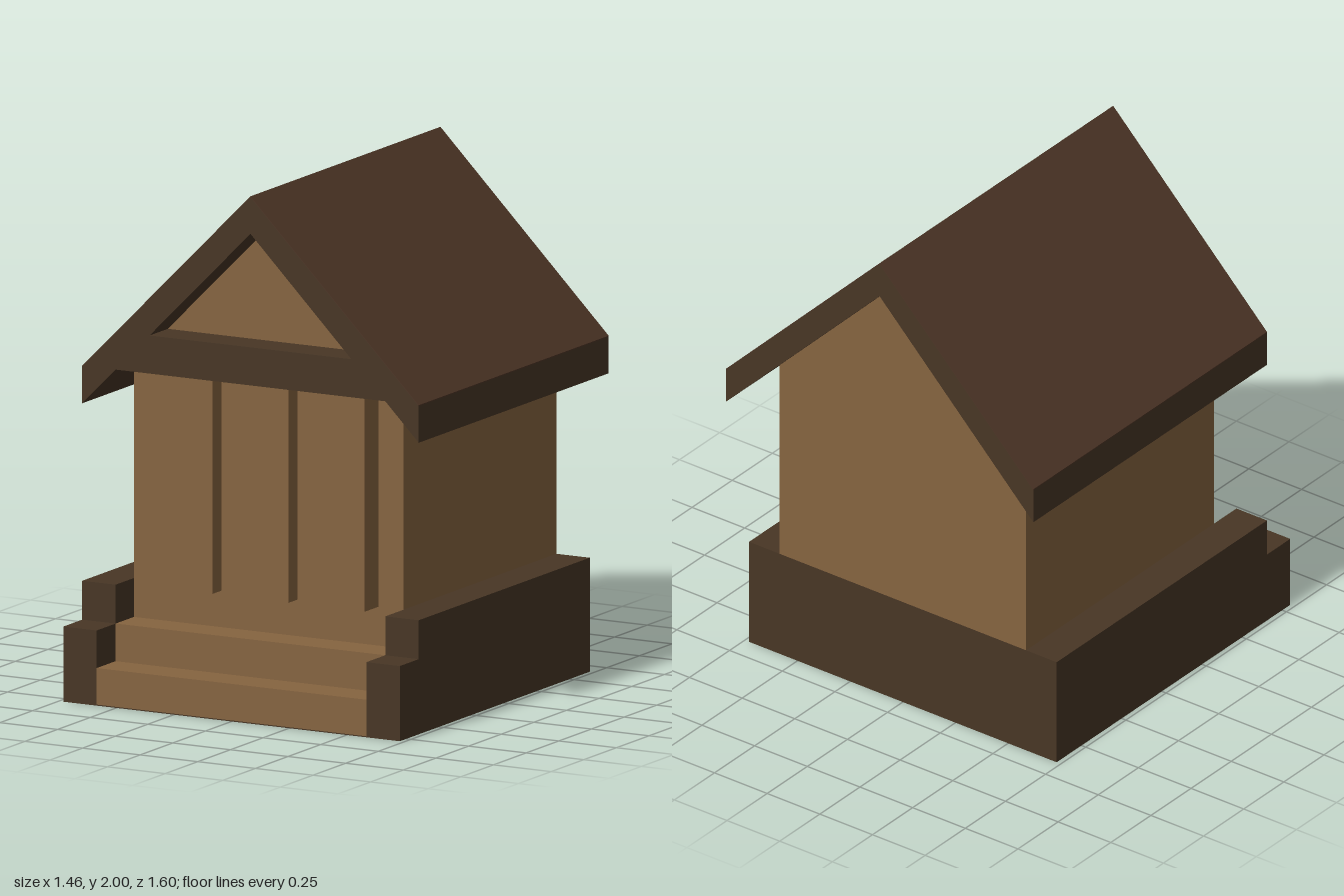
import * as THREE from 'three';

const mat = (color) => new THREE.MeshStandardMaterial({ color, flatShading: true });

export function createModel() {
  const model = new THREE.Group();
  model.name = 'smallTemple';
  const wood = mat(0x866440), trim = mat(0x483625), shingle = mat(0x4d3526);

  const add = (name, geometry, material) => {
    const mesh = new THREE.Mesh(geometry, material);
    mesh.name = name;
    model.add(mesh);
    return mesh;
  };
  // Box given by its limits on each axis
  const box = (name, material, x0, x1, y0, y1, z0, z1) => {
    const mesh = add(name, new THREE.BoxGeometry(x1 - x0, y1 - y0, z1 - z0), material);
    mesh.position.set((x0 + x1) / 2, (y0 + y1) / 2, (z0 + z1) / 2);
    return mesh;
  };
  // Front outline extruded from z0 to z1
  const prism = (name, material, points, z0, z1) => {
    const shape = new THREE.Shape(points.map(([x, y]) => new THREE.Vector2(x, y)));
    const geometry = new THREE.ExtrudeGeometry(shape, { depth: z1 - z0, bevelEnabled: false });
    return add(name, geometry.translate(0, 0, z0), material);
  };

  const outer = 0.73, inner = 0.585, back = -0.655, front = 0.8;
  const step = 0.145, floorY = 0.44, wallZ = 0.515, lip = 0.655;

  // Plinth: ground plate, core and stepped side walls
  box('groundPlate', trim, -inner, inner, 0, 0.004, back, front);
  box('plinthCore', trim, -inner, inner, 0.004, floorY, back, 0.4);
  for (const [side, x0, x1] of [['left', inner, outer], ['right', -outer, -inner]]) {
    box(side + 'PlinthWall', trim, x0, x1, 0, floorY, back, lip);
    box(side + 'StairCheek', trim, x0, x1, 0, 0.29, lip, front);
  }

  // Stairs between the side walls
  box('lowerStep', wood, -inner, inner, 0.004, step, lip, front);
  box('middleStep', wood, -inner, inner, 0.004, 0.29, wallZ, lip);
  box('upperStep', wood, -inner, inner, 0.004, floorY, 0.4, wallZ);

  // Gabled body
  prism('body', wood, [
    [-inner, floorY], [inner, floorY], [inner, 1.27], [0, 1.855], [-inner, 1.27],
  ], back, wallZ);

  // Three raised door panels
  for (const x of [-0.33, 0, 0.33]) {
    box('doorPanel', wood, x - 0.146, x + 0.146, floorY, 1.28, wallZ, 0.62);
  }

  // Beam under the recessed front gable
  prism('gableBeam', trim, [
    [-inner, 1.27], [inner, 1.27], [0.44, 1.417], [-0.44, 1.417],
  ], wallZ, lip);

  // Roof frame with a thin covering on its slopes
  const chevron = (name, material, drop, thick) => {
    const top = 2 - drop, eave = 1.27 - drop;
    return prism(name, material, [
      [-outer, eave - thick], [0, top - thick], [outer, eave - thick],
      [outer, eave], [0, top], [-outer, eave],
    ], -0.8, lip);
  };
  chevron('roofFrame', trim, 0.004, 0.141);
  chevron('roofCovering', shingle, 0, 0.004);

  return model;
}
